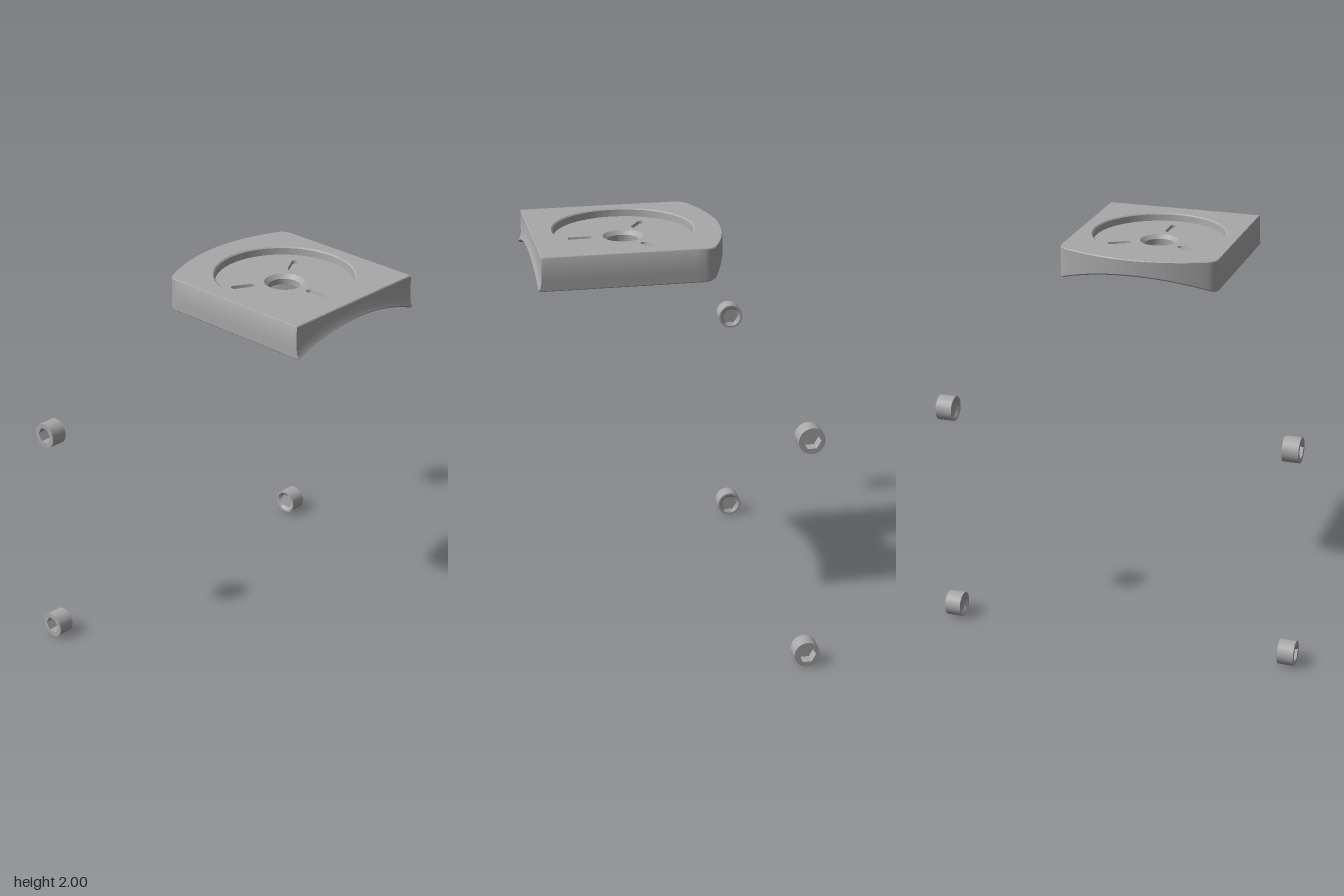
import * as THREE from 'three';
import { toCreasedNormals } from 'three/addons/utils/BufferGeometryUtils.js';

const TURN = THREE.MathUtils.degToRad(25.2);

// Skin a series of closed rings (arrays of [x, y, z] with equal counts).
function loft(rings, crease = 0.6) {
  const n = rings[0].length, index = [];
  for (let r = 0; r < rings.length - 1; r++) {
    for (let i = 0; i < n; i++) {
      const j = (i + 1) % n, a = r * n, b = a + n;
      index.push(a + i, a + j, b + j, a + i, b + j, b + i);
    }
  }
  const g = new THREE.BufferGeometry();
  g.setAttribute('position', new THREE.Float32BufferAttribute(rings.flat(2), 3));
  g.setIndex(index);
  return toCreasedNormals(g, crease);
}

// Ring given by radius, or by the corner radius of a hexagon.
function round(n, radius, y, hex = false) {
  return Array.from({ length: n }, (_, i) => {
    const a = (i / n) * Math.PI * 2, s = Math.PI / 3;
    const r = hex ? radius * Math.cos(s / 2) / Math.cos((a % s) - s / 2) : radius;
    return [Math.sin(a) * r, y, Math.cos(a) * r];
  });
}

// Plan of the plate: straight front and sides, bowed back with rounded corners.
function plateOutline() {
  const p = new THREE.Path();
  p.moveTo(-0.42, 0.472);
  p.lineTo(0.42, 0.472);
  p.lineTo(0.42, -0.33);
  p.quadraticCurveTo(0.42, -0.377, 0.38, -0.395);
  p.quadraticCurveTo(0, -0.57, -0.38, -0.395);
  p.quadraticCurveTo(-0.42, -0.377, -0.42, -0.33);
  p.lineTo(-0.42, 0.472);
  const steps = [28, 20, 6, 32, 6, 20];
  return p.curves.flatMap((c, i) => c.getPoints(steps[i]).slice(0, -1)).map((v) => [v.x, v.y]);
}

// Underside vault, running front to back.
const arch = (x) => 1.912 - (1.1 - Math.sqrt(1.21 - x * x));

// Slot outline, lying along a radius of the recess.
function slotRing(angle, radius, y) {
  return Array.from({ length: 24 }, (_, i) => {
    const a = ((i + 0.5) / 24) * Math.PI * 2;
    const x = Math.sin(a) * radius;
    const z = 0.21 + Math.cos(a) * radius + Math.sign(Math.cos(a)) * 0.045;
    return [x * Math.cos(angle) + z * Math.sin(angle), y, z * Math.cos(angle) - x * Math.sin(angle)];
  });
}

function createPlate(material) {
  const plate = new THREE.Group();
  plate.name = 'plate';
  const add = (name, geometry) => {
    const m = new THREE.Mesh(geometry, material);
    m.name = name;
    plate.add(m);
  };
  const outline = plateOutline();
  const floorY = 1.96;
  const circle = (r, y) => outline.map(([x, z]) => {
    const k = r / Math.hypot(x, z);
    return [x * k, typeof y === 'number' ? y : y(x * k), z * k];
  });
  const edge = (scale, front, y) => outline.map(([x, z]) => [x * scale, y(x * scale), Math.min(z * scale, front)]);

  // Vaulted underside, outer wall flaring at the front, top and recess wall
  const rings = [];
  for (let s = 0; s < 5; s++) {
    rings.push(outline.map(([x, z]) => {
      const inner = 0.08 / Math.hypot(x, z), k = inner + (0.985 - inner) * s / 4;
      return [x * k, arch(x * k), z * k];
    }));
  }
  rings.push(
    edge(1, 0.472, (x) => arch(x) + 0.008),
    edge(1, 0.463, (x) => arch(x) + 0.025),
    edge(1, 0.457, (x) => arch(x) + 0.055),
    edge(1, 0.455, () => 1.995),
    edge(0.992, 0.451, () => 2),
    circle(0.352, 2), circle(0.345, 1.994), circle(0.342, floorY)
  );
  add('plateBody', loft(rings));

  // Recess floor with openings for the bore and slots
  const flat = (ring) => ring.map(([x, , z]) => new THREE.Vector2(x, -z));
  const floor = new THREE.Shape(flat(circle(0.342, floorY)));
  floor.holes.push(new THREE.Path(flat(circle(0.1, floorY))));
  for (let i = 0; i < 3; i++) {
    const a = i * Math.PI * 2 / 3;
    floor.holes.push(new THREE.Path(flat(slotRing(a, 0.0185, floorY))));
    const bottom = slotRing(a, 0.015, floorY - 0.016);
    const centre = bottom.map(() => [Math.sin(a) * 0.21, floorY - 0.016, Math.cos(a) * 0.21]);
    add('slot', loft([slotRing(a, 0.0185, floorY), bottom, centre]));
  }
  add('recessFloor', new THREE.ShapeGeometry(floor).rotateX(-Math.PI / 2).translate(0, floorY, 0));

  // Countersunk centre bore
  add('centreBore', loft([circle(0.1, floorY), circle(0.08, 1.94), circle(0.08, arch)]));

  plate.position.set(0.31, 0, 0.255);
  plate.rotation.y = TURN;
  return plate;
}

// Short screw with a hexagonal socket at one end and a shallow cup at the other
function screwGeometry() {
  const n = 24;
  return loft([
    round(n, 0, 0.014), round(n, 0.042, 0.014, true), round(n, 0.055, 0), round(n, 0.065, 0),
    round(n, 0.065, 0.085), round(n, 0.044, 0.085, true), round(n, 0.044, 0.03, true), round(n, 0, 0.03),
  ], 0.5).translate(0, -0.0425, 0).rotateZ(-Math.PI / 2);
}

export function createModel() {
  const model = new THREE.Group();
  model.name = 'mountingHardware';
  const grey = new THREE.MeshStandardMaterial({ color: 0xa8a8a8 });
  grey.name = 'grey';
  model.add(createPlate(grey));

  // Four screws, sockets facing outwards
  const geometry = screwGeometry();
  for (const [side, x, z] of [['left', 0.822, -0.797], ['right', -0.833, -0.022]]) {
    for (const [level, y] of [['Lower', 0.065], ['Upper', 1.195]]) {
      const screw = new THREE.Mesh(geometry, grey);
      screw.name = `${side}${level}Screw`;
      screw.position.set(x, y, z);
      screw.rotation.y = TURN + (x < 0 ? Math.PI : 0);
      model.add(screw);
    }
  }
  return model;
}
